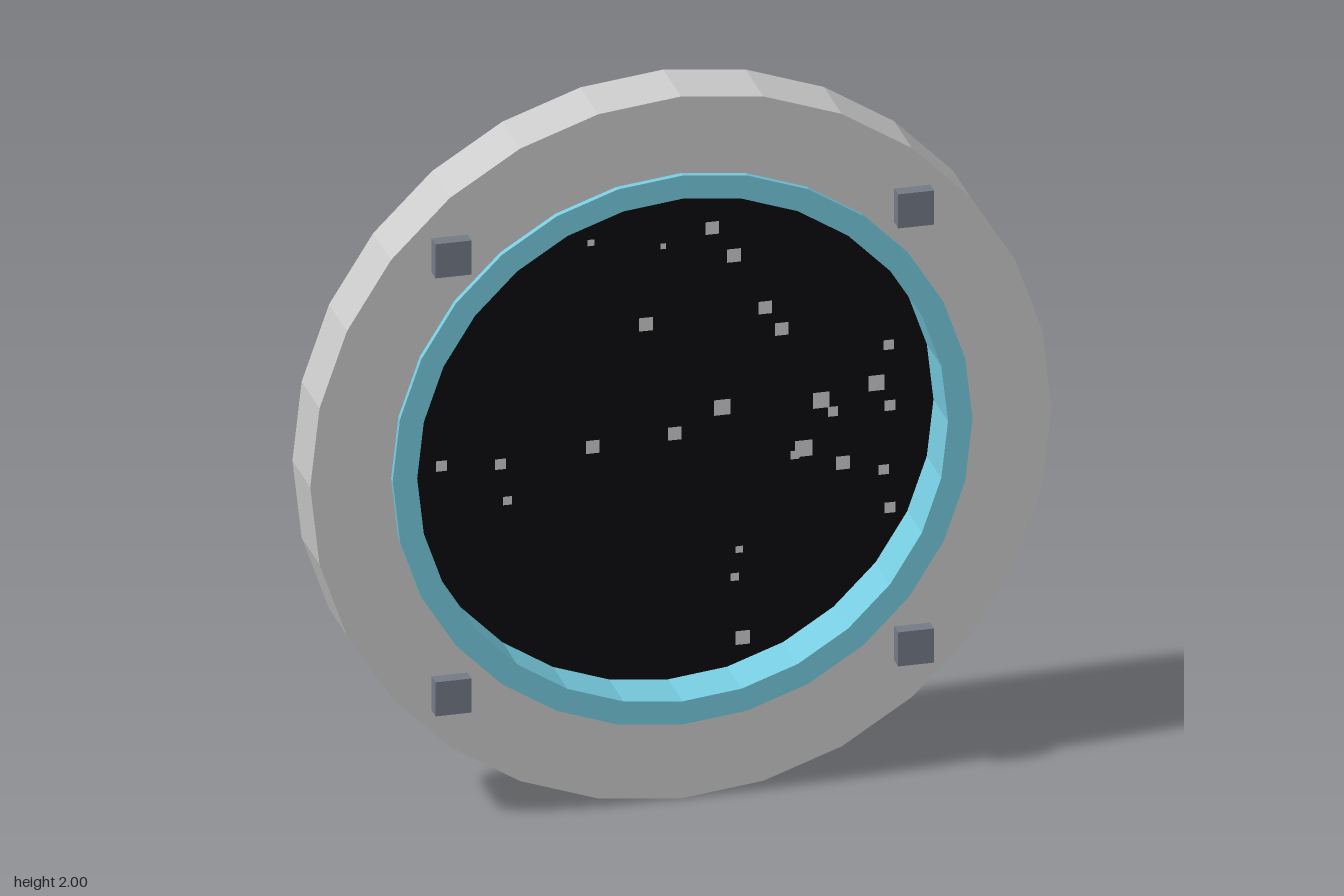
import * as THREE from 'three';

const SIDES = 28;
const mat = (color, extra = {}) => new THREE.MeshStandardMaterial({ color, flatShading: true, ...extra });

// Faceted flat ring between two depths
function ring(name, outer, inner, z0, z1, material) {
  const shape = new THREE.Shape().absarc(0, 0, outer, 0, Math.PI * 2, false);
  shape.holes.push(new THREE.Path().absarc(0, 0, inner, 0, Math.PI * 2, true));
  const geo = new THREE.ExtrudeGeometry(shape, { depth: z1 - z0, bevelEnabled: false, curveSegments: SIDES / 2 });
  const mesh = new THREE.Mesh(geo, material);
  mesh.position.z = z0;
  mesh.name = name;
  return mesh;
}

export function createModel() {
  const model = new THREE.Group();
  model.name = 'starPorthole';
  const body = new THREE.Group();
  body.name = 'porthole';
  body.position.y = 1;
  model.add(body);

  // Heavy outer frame and the blue liner inside it
  body.add(ring('outerFrame', 1, 0.765, -0.11, 0.07, mat(0xcccccc)));
  body.add(ring('blueLiner', 0.782, 0.716, -0.06, 0.087, mat(0x77cce0)));

  // Dark pane set near the back
  const pane = new THREE.Mesh(new THREE.CircleGeometry(0.755, SIDES), mat(0x0a0a10, { side: THREE.DoubleSide }));
  pane.position.z = -0.065;
  pane.name = 'darkPane';
  body.add(pane);

  // Four square bolts on the frame
  const boltGeo = new THREE.BoxGeometry(0.097, 0.097, 0.05);
  const boltMat = mat(0x757a88);
  for (const sx of [-1, 1]) for (const sy of [-1, 1]) {
    const bolt = new THREE.Mesh(boltGeo, boltMat);
    bolt.position.set(sx * 0.624, sy * 0.624, 0.085);
    bolt.name = 'bolt';
    body.add(bolt);
  }

  // Square stars floating just before the pane: x, y, size
  const stars = [
    [-0.21, 0.555, 0.018], [-0.015, 0.523, 0.016], [0.117, 0.56, 0.036], [0.176, 0.475, 0.038],
    [-0.062, 0.306, 0.038], [0.26, 0.317, 0.036], [0.305, 0.251, 0.036], [0.593, 0.173, 0.028],
    [0.144, 0.046, 0.044], [0.411, 0.036, 0.045], [0.56, 0.068, 0.044], [0.443, 0, 0.028],
    [0.597, 0, 0.03], [-0.613, -0.035, 0.03], [-0.454, -0.048, 0.03], [-0.205, -0.027, 0.037],
    [0.016, -0.014, 0.037], [-0.435, -0.154, 0.024], [0.364, -0.096, 0.046], [0.34, -0.112, 0.024],
    [0.47, -0.149, 0.038], [0.58, -0.181, 0.028], [0.597, -0.291, 0.03], [0.19, -0.364, 0.019],
    [0.178, -0.441, 0.022], [0.199, -0.616, 0.039],
  ];
  const starGeo = new THREE.PlaneGeometry(1, 1);
  const starMat = mat(0xcccccc, { side: THREE.DoubleSide });
  const field = new THREE.Group();
  field.name = 'stars';
  for (const [x, y, s] of stars) {
    const star = new THREE.Mesh(starGeo, starMat);
    star.position.set(x, y, -0.052);
    star.scale.set(s, s, 1);
    star.name = 'star';
    field.add(star);
  }
  body.add(field);
  return model;
}
